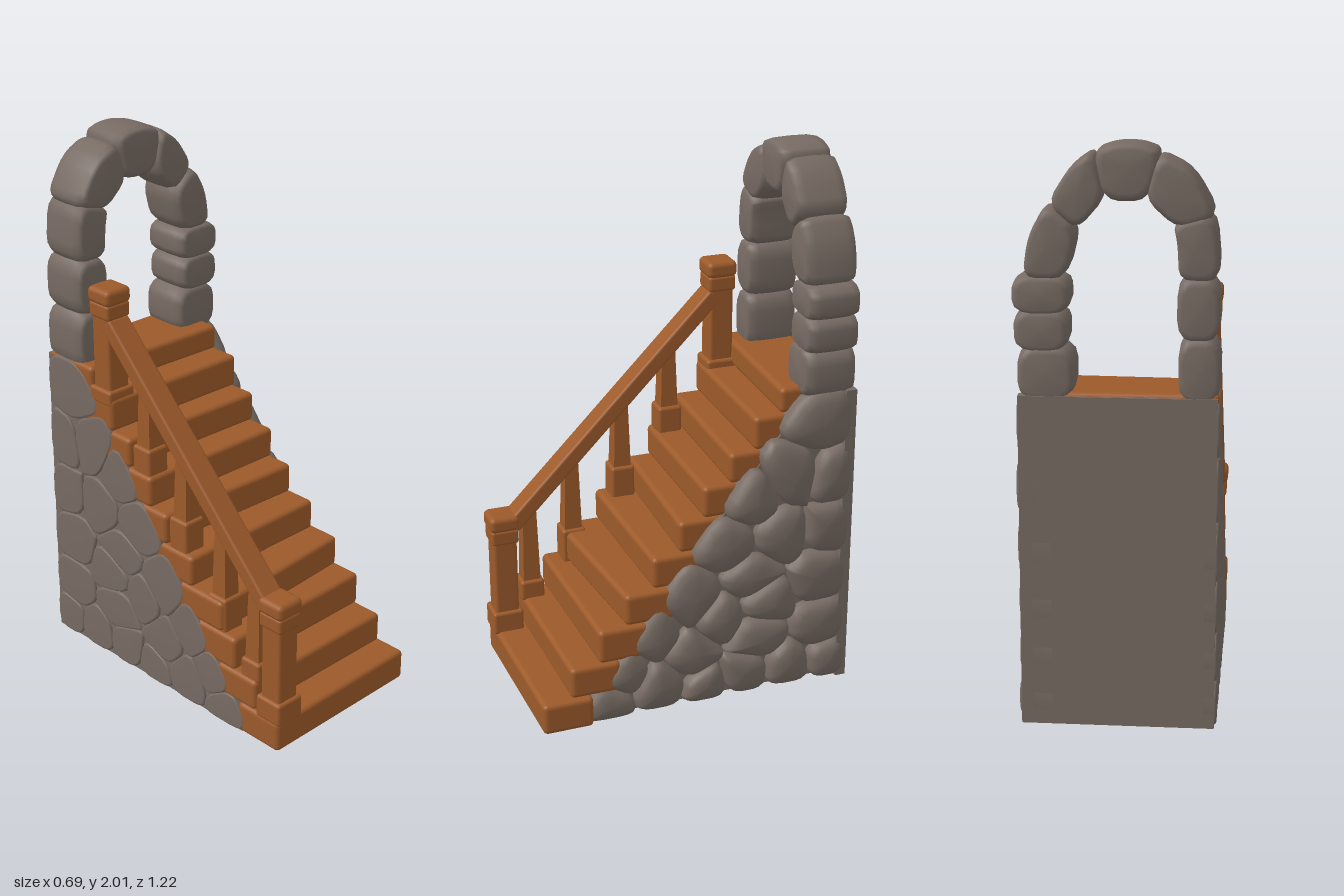
import * as THREE from 'three';
import { RoundedBoxGeometry } from 'three/addons/geometries/RoundedBoxGeometry.js';

const wood = new THREE.MeshStandardMaterial({ color: 0x9c5a2a });
wood.name = 'warm wood';
const stone = new THREE.MeshStandardMaterial({ color: 0x776b63 });
stone.name = 'grey stone';

function add(group, name, geometry, material) {
  const mesh = new THREE.Mesh(geometry, material);
  mesh.name = name;
  group.add(mesh);
  return mesh;
}

// Cuts the corners of a closed outline to soften it
function soften(points, ratio = 0.2, times = 2) {
  for (let k = 0; k < times; k++) {
    points = points.flatMap((p, i) => {
      const q = points[(i + 1) % points.length];
      return [p.clone().lerp(q, ratio), p.clone().lerp(q, 1 - ratio)];
    });
  }
  return points;
}

// Lofted stone: a counter-clockwise outline scaled about its centre at each [scale, z]
function stoneGeometry(outline, rings) {
  const pts = soften(outline), n = pts.length;
  const c = pts.reduce((s, p) => s.add(p), new THREE.Vector2()).divideScalar(n);
  const pos = [], index = [];
  rings.forEach(([s, z]) => pts.forEach(p =>
    pos.push(c.x + (p.x - c.x) * s, c.y + (p.y - c.y) * s, z)));
  for (let r = 0; r < rings.length - 1; r++) {
    for (let i = 0; i < n; i++) {
      const a = r * n + i, b = r * n + (i + 1) % n;
      index.push(a, b, b + n, a, b + n, a + n);
    }
  }
  const g = new THREE.BufferGeometry();
  g.setAttribute('position', new THREE.Float32BufferAttribute(pos, 3));
  g.setIndex(index);
  g.computeVertexNormals();
  return g;
}

// Keeps the part of a convex polygon behind the line through p with normal n
function clip(poly, p, n) {
  const out = [];
  poly.forEach((a, i) => {
    const b = poly[(i + 1) % poly.length];
    const da = a.clone().sub(p).dot(n), db = b.clone().sub(p).dot(n);
    if (da <= 0) out.push(a);
    if (da * db < 0) out.push(a.clone().lerp(b, da / (da - db)));
  });
  return out;
}

const v2 = (x, y) => new THREE.Vector2(x, y);

// Stone centres on the side wall: distance towards the back, height
const seeds = [
  [-0.34, 0.05], [-0.27, 0.17], [-0.15, 0.3], [0, 0.42], [-0.02, 0.2], [-0.13, 0.09],
  [0.05, 0.04], [0.2, 0.07], [0.38, 0.06], [0.54, 0.07], [0.25, 0.23], [0.51, 0.23],
  [0.28, 0.36], [0.5, 0.43], [0.1, 0.33], [0.22, 0.48], [0.14, 0.62], [0.33, 0.63],
  [0.23, 0.78], [0.38, 0.86], [0.54, 0.63], [0.54, 0.83], [0.48, 1.06],
].map(([u, v]) => v2(u, v));

function sideWall(group, name, sign, rings) {
  const wall = new THREE.Group();
  wall.name = name;
  for (const s of seeds) {
    let cell = [v2(-0.43, 0), v2(0.608, 0), v2(0.608, 1.18), v2(-0.43, 1.18)];
    cell = clip(cell, v2(-0.45, 0.04), v2(-1.3, 1));
    for (const t of seeds) {
      if (t !== s) cell = clip(cell, s.clone().add(t).multiplyScalar(0.5), t.clone().sub(s));
    }
    if (cell.length < 3) continue;
    if (sign < 0) cell = cell.map(p => v2(-p.x, p.y)).reverse();
    add(wall, 'wallStone', stoneGeometry(cell, rings).rotateY(sign * Math.PI / 2), stone);
  }
  group.add(wall);
}

export function createModel() {
  const model = new THREE.Group();
  model.name = 'stoneStaircase';

  // Solid stone core under the steps, with a flat back
  const profile = new THREE.Shape([
    v2(-0.42, 0), v2(0.606, 0), v2(0.606, 1.172), v2(0.592, 1.172), v2(0.592, 1.1),
    v2(0.4, 1.1), v2(-0.42, 0.03),
  ]);
  const core = new THREE.ExtrudeGeometry(profile, { depth: 0.615, bevelEnabled: false });
  add(model, 'core', core.translate(0, 0, -0.335).rotateY(Math.PI / 2), stone);
  add(model, 'backWall', new THREE.BoxGeometry(0.665, 1.172, 0.04).translate(-0.005, 0.586, -0.588), stone);

  // Bulging stones on the open side, flat ones on the railing side
  sideWall(model, 'bulgingWall', 1,
    [[1, 0.22], [1, 0.285], [0.97, 0.308], [0.88, 0.325], [0.65, 0.337], [0.3, 0.342], [0, 0.343]]);
  sideWall(model, 'flatWall', -1,
    [[1, 0.3], [1, 0.338], [0.97, 0.343], [0.9, 0.345], [0, 0.345]]);

  // Wooden steps: bottom, top, front edge at left and right ends, right end
  const steps = [
    [0, 0.12, 0.605, 0.59, 0.345], [0.12, 0.24, 0.49, 0.48, 0.33],
    [0.24, 0.37, 0.385, 0.37, 0.325], [0.37, 0.49, 0.32, 0.265, 0.315],
    [0.49, 0.61, 0.165, 0.155, 0.295], [0.61, 0.73, 0.03, 0.05, 0.282],
    [0.73, 0.85, -0.05, -0.045, 0.277], [0.85, 0.965, -0.16, -0.145, 0.275],
    [0.965, 1.09, -0.25, -0.24, 0.272], [1.09, 1.185, -0.36, -0.34, 0.265],
  ];
  steps.forEach(([y0, y1, zl, zr, xr], i) => {
    const xl = -0.342, w = xr - xl, depth = i === 9 ? 0.24 : 0.19;
    const g = new RoundedBoxGeometry(w, y1 - y0, depth, 3, 0.018);
    const p = g.attributes.position;
    for (let k = 0; k < p.count; k++) {
      const t = p.getX(k) / w + 0.5, front = THREE.MathUtils.lerp(zl, zr, t);
      const f = p.getZ(k) / depth + 0.5;
      p.setZ(k, THREE.MathUtils.lerp(Math.min(zl, zr) - depth, front, f));
    }
    g.translate((xl + xr) / 2, (y0 + y1) / 2, 0);
    g.computeVertexNormals();
    add(model, 'step', g, wood);
  });

  // Stone arch over the top landing
  const arch = new THREE.Group();
  arch.name = 'arch';
  const rect = (x0, x1, y0, y1) => [[x0, y0], [x1, y0], [x1, y1], [x0, y1]];
  const archStones = [
    rect(-0.345, -0.205, 1.15, 1.37), rect(-0.342, -0.2, 1.36, 1.57),
    [[-0.345, 1.56], [-0.205, 1.56], [-0.2, 1.68], [-0.185, 1.75], [-0.325, 1.79]],
    [[-0.335, 1.77], [-0.2, 1.73], [-0.09, 1.83], [-0.13, 1.98], [-0.25, 1.92]],
    [[-0.105, 1.82], [0.04, 1.82], [0.075, 1.98], [0, 2.005], [-0.08, 2.005], [-0.15, 1.98]],
    [[0.035, 1.83], [0.13, 1.72], [0.225, 1.81], [0.15, 1.93], [0.07, 1.985]],
    [[0.165, 1.56], [0.31, 1.56], [0.29, 1.7], [0.23, 1.81], [0.125, 1.73]],
    rect(0.155, 0.345, 1.445, 1.57), rect(0.16, 0.34, 1.32, 1.455), rect(0.14, 0.33, 1.15, 1.335),
  ];
  const archRings = [[0, -0.606], [0.75, -0.605], [0.92, -0.597], [1, -0.57], [1.02, -0.51],
    [1, -0.45], [0.92, -0.421], [0.75, -0.411], [0, -0.409]];
  for (const s of archStones) {
    add(arch, 'archStone', stoneGeometry(s.map(([x, y]) => v2(x, y)), archRings), stone);
  }
  model.add(arch);

  // Railing
  const railing = new THREE.Group();
  railing.name = 'railing';
  const railX = -0.285;
  const block = (name, w, y0, y1, z, r = 0.012) => add(railing, name,
    new RoundedBoxGeometry(w, y1 - y0, w, 2, r).translate(railX, (y0 + y1) / 2, z), wood);

  // Newel posts at both ends: foot, shaft, collar and cap
  for (const [z, y0, footTop, y1] of [[0.553, 0.11, 0.2, 0.6], [-0.315, 1.06, 1.12, 1.505]]) {
    block('newelFoot', 0.118, y0, footTop, z);
    block('newelShaft', 0.092, y0, y1 - 0.05, z);
    block('newelCollar', 0.106, y1 - 0.115, y1 - 0.055, z);
    block('newelCap', 0.116, y1 - 0.062, y1, z, 0.02);
  }

  // Sloping handrail
  const a = new THREE.Vector3(railX, 0.55, 0.52), b = new THREE.Vector3(railX, 1.375, -0.29);
  const rail = add(railing, 'handrail', new RoundedBoxGeometry(0.094, 0.06, a.distanceTo(b), 2, 0.01), wood);
  rail.position.copy(a).add(b).multiplyScalar(0.5);
  rail.lookAt(b);

  // Balusters: square feet with tapering shafts
  for (const [z, y0, y1] of [[0.45, 0.23, 0.31], [0.28, 0.36, 0.5], [0.08, 0.6, 0.73], [-0.11, 0.84, 0.95]]) {
    const top = 0.57 + (0.5 - z) * 1.02;
    block('balusterFoot', 0.092, y0, y1, z);
    const shaft = new THREE.CylinderGeometry(0.036, 0.048, top - y1 + 0.02, 4, 1).toNonIndexed();
    shaft.rotateY(Math.PI / 4).computeVertexNormals();
    add(railing, 'balusterShaft', shaft.translate(railX, (top + y1 - 0.02) / 2, z), wood);
  }
  model.add(railing);
  return model;
}
